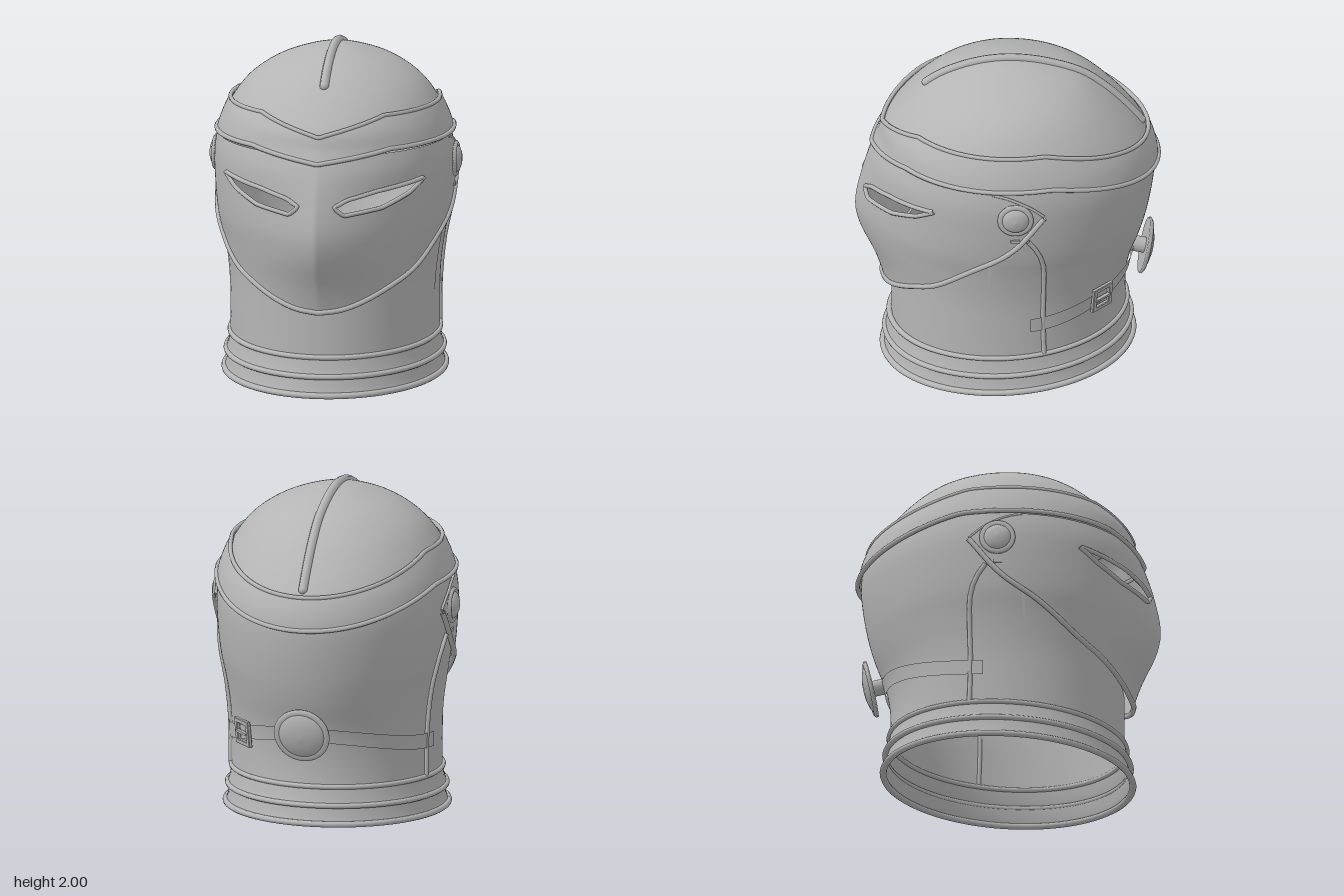
import * as THREE from 'three';

const steel = new THREE.MeshStandardMaterial({ color: 0xb5b5b5, side: THREE.DoubleSide });
steel.name = 'steel';

const TOP = 1.975;
const toQ = (y) => Math.sqrt(Math.max(0, TOP - y));
const toY = (q) => TOP - q * q;

// smooth curve through rows [key, value, ...]; keys ascending
function smooth(rows, k, c = 1) {
  const n = rows.length;
  k = Math.min(Math.max(k, rows[0][0]), rows[n - 1][0]);
  let i = 0;
  while (i < n - 2 && k > rows[i + 1][0]) i++;
  const slope = (j) => {
    const a = rows[Math.max(j - 1, 0)], b = rows[Math.min(j + 1, n - 1)];
    return (b[c] - a[c]) / (b[0] - a[0]);
  };
  const h = rows[i + 1][0] - rows[i][0], t = (k - rows[i][0]) / h, t2 = t * t, t3 = t2 * t;
  return (2 * t3 - 3 * t2 + 1) * rows[i][c] + (t3 - 2 * t2 + t) * h * slope(i)
    + (3 * t2 - 2 * t3) * rows[i + 1][c] + (t3 - t2) * h * slope(i + 1);
}
function linear(rows, k) {
  if (k <= rows[0][0]) return rows[0][1];
  for (let i = 1; i < rows.length; i++) {
    const [a, u] = rows[i - 1], [b, v] = rows[i];
    if (k <= b) return u + (v - u) * (k - a) / (b - a);
  }
  return rows[rows.length - 1][1];
}

// helmet profile: height, half width, front depth, back depth, nose point
const PROFILE = [
  [0.2, 0.61, 0.68, 0.70, 0], [0.45, 0.61, 0.685, 0.685, 0.02], [0.65, 0.615, 0.715, 0.71, 0.05],
  [0.85, 0.64, 0.765, 0.78, 0.09], [1.0, 0.67, 0.785, 0.82, 0.095], [1.2, 0.688, 0.775, 0.852, 0.07],
  [1.35, 0.69, 0.765, 0.855, 0.035], [1.48, 0.67, 0.725, 0.815, 0.02], [1.57, 0.64, 0.70, 0.755, 0.015],
  [1.66, 0.595, 0.64, 0.68, 0], [1.78, 0.50, 0.52, 0.56, 0], [1.88, 0.355, 0.38, 0.42, 0],
  [1.94, 0.20, 0.23, 0.25, 0], [TOP, 0, 0, 0, 0],
].map(([y, ...rest]) => [toQ(y), ...rest]).reverse();

// point on the helmet at angle a (0 = front, towards +x) and height y
function base(a, y, neck) {
  const q = toQ(y), c = Math.cos(a), x = smooth(PROFILE, q, 1) * Math.sin(a);
  let z;
  if (c < 0) z = smooth(PROFILE, q, 3) * c;
  else if (neck) z = 0.68 * c;
  else z = smooth(PROFILE, q, 2) * c + smooth(PROFILE, q, 4) * Math.max(0, 1 - Math.abs(x) / 0.45) ** 1.5;
  return new THREE.Vector3(x, y, z);
}
function normalAt(a, y, neck) {
  const e = 0.002, f = 0.0002;
  const da = base(a + e, y, neck).sub(base(a - e, y, neck));
  const dy = base(a, y + f, neck).sub(base(a, y - f, neck));
  return da.cross(dy).normalize();
}
const onShell = (a, y, off = 0, neck = false) => base(a, y, neck).addScaledVector(normalAt(a, y, neck), off);

// plate following the helmet between two height curves
function plate(a0, a1, lo, hi, off, cols, rows, neck = false) {
  const pos = [], nor = [], idx = [];
  for (let i = 0; i <= cols; i++) {
    const a = a0 + (a1 - a0) * i / cols, qa = toQ(lo(a)), qb = toQ(hi(a));
    for (let j = 0; j <= rows; j++) {
      const y = toY(qa + (qb - qa) * j / rows);
      pos.push(...onShell(a, y, off, neck).toArray());
      nor.push(...normalAt(a, y, neck).toArray());
      if (i < cols && j < rows) {
        const p = i * (rows + 1) + j, r = p + rows + 1;
        idx.push(p, r, r + 1, p, r + 1, p + 1);
      }
    }
  }
  const g = new THREE.BufferGeometry();
  g.setAttribute('position', new THREE.Float32BufferAttribute(pos, 3));
  g.setAttribute('normal', new THREE.Float32BufferAttribute(nor, 3));
  g.setIndex(idx);
  return g;
}
const tube = (pts, r, closed = false) => new THREE.TubeGeometry(
  new THREE.CatmullRomCurve3(pts, closed, 'centripetal'), pts.length * 2, r, 8, closed);
// trim line along a height curve
function trim(a0, a1, f, off, r, n, closed = false, neck = false) {
  const pts = [];
  for (let i = 0; i < n + (closed ? 0 : 1); i++) {
    const a = a0 + (a1 - a0) * i / n;
    pts.push(onShell(a, f(a), off, neck));
  }
  return tube(pts, r, closed);
}
const turned = (pts) => new THREE.LatheGeometry(pts.map((p) => new THREE.Vector2(...p)), 40).rotateX(Math.PI / 2);

// edge curves of the plates
const LOW = [[0, 0.52], [0.2, 0.535], [0.4, 0.575], [0.7, 0.66], [0.98, 0.75], [1.32, 0.93], [1.59, 1.08], [1.8, 1.30]];
const HIGH = [[0, 1.45], [1.4, 1.46], [1.55, 1.44], [1.7, 1.38], [1.8, 1.31]];
const EYE_HI = [[0.15, 1.165], [0.25, 1.205], [0.5, 1.245], [0.97, 1.285]];
const EYE_LO = [[0.15, 1.165], [0.22, 1.115], [0.55, 1.145], [0.8, 1.21], [0.97, 1.285]];
const visorLow = (a) => smooth(LOW, Math.abs(a));
const visorHigh = (a) => linear(HIGH, Math.abs(a));
const clampEye = (f) => (a) => Math.min(Math.max(f(Math.abs(a)), visorLow(a)), visorHigh(a));
const eyeHi = clampEye((a) => linear(EYE_HI, a)), eyeLo = clampEye((a) => linear(EYE_LO, a));
const drop = (a) => 0.16 * Math.max(0, (-Math.cos(a) - 0.28) / 0.72) ** 1.2;
const browLow = (a) => linear([[0, 1.405], [0.63, 1.475]], Math.abs(a)) - drop(a);
const browHigh = (a) => linear([[0, 1.555], [0.63, 1.655]], Math.abs(a)) - drop(a);
const shellTop = (a) => (Math.abs(a) > 1.4 ? browLow(a) + 0.02 : visorLow(a) + 0.06);

export function createModel() {
  const model = new THREE.Group();
  const PI = Math.PI;
  const add = (name, geometry, parent = model) => {
    const m = new THREE.Mesh(geometry, steel);
    m.name = name;
    parent.add(m);
    return m;
  };
  // group sitting on a surface point, its z axis facing along dir
  const mount = (name, p, dir) => {
    const g = new THREE.Group();
    g.name = name;
    g.position.copy(p);
    g.lookAt(p.clone().add(dir));
    model.add(g);
    return g;
  };

  // main plates
  add('neckShell', plate(-PI, PI, (a) => 0.28 - 0.044 * Math.cos(a), shellTop, 0, 160, 24, true));
  add('visorLower', plate(-1.8, 1.8, visorLow, eyeLo, 0.012, 180, 16));
  add('visorUpper', plate(-1.8, 1.8, eyeHi, visorHigh, 0.012, 180, 10));
  add('browBand', plate(-PI, PI, browLow, browHigh, 0.018, 160, 6));
  add('crown', plate(-PI, PI, browHigh, () => toY(0.022), 0, 128, 24));

  // edge trims
  add('browLowerTrim', trim(-PI, PI, browLow, 0.02, 0.014, 120, true));
  add('browUpperTrim', trim(-PI, PI, browHigh, 0.014, 0.013, 120, true));
  add('visorTrim', trim(-1.8, 1.8, visorLow, 0.014, 0.016, 80));

  // crest ridge over the crown
  const crest = [];
  for (let q = -0.4; q <= 0.661; q += 0.02) crest.push(base(q < 0 ? 0 : PI, toY(Math.abs(q))));
  add('crest', tube(crest, 0.027));
  for (const p of [crest[0], crest[crest.length - 1]])
    add('crestEnd', new THREE.SphereGeometry(0.027, 12, 8)).position.copy(p);

  // neck rings, tilted down to the front
  const tilt = new THREE.Matrix4().set(1, 0, 0, 0, 0, 1, -0.071, 0, 0, 0, 1.13, 0, 0, 0, 0, 1);
  const lame = (pts) => new THREE.LatheGeometry(pts.map((p) => new THREE.Vector2(...p)), 96).applyMatrix4(tilt);
  add('lowerNeckPlate', lame([[0.645, 0.065], [0.63, 0.11], [0.622, 0.175]]));
  add('upperNeckPlate', lame([[0.635, 0.175], [0.62, 0.22], [0.61, 0.29]]));
  for (const [r, h, t] of [[0.645, 0.066, 0.018], [0.634, 0.175, 0.016], [0.613, 0.285, 0.015]])
    add('neckRing', new THREE.TorusGeometry(r, t, 10, 96).rotateX(PI / 2).translate(0, h, 0).applyMatrix4(tilt));

  for (const s of [1, -1]) {
    // eye slit frames
    const frame = [];
    for (let i = 0; i <= 20; i++) { const a = 0.15 + 0.041 * i; frame.push(onShell(s * a, eyeHi(a), 0.018)); }
    for (let i = 19; i > 0; i--) { const a = 0.15 + 0.041 * i; frame.push(onShell(s * a, eyeLo(a), 0.018)); }
    add('eyeFrame', tube(frame, 0.013, true));

    // rear edge of the visor and side seam
    const rear = [1.42, 1.5, 1.58, 1.66, 1.72, 1.8].map((a) => onShell(s * a, visorHigh(a), 0.01));
    add('visorRearEdge', tube(rear, 0.008));
    const seam = [[1.86, 0.3], [1.85, 0.55], [1.83, 0.8], [1.81, 0.95], [1.76, 1.06], [1.69, 1.14]];
    add('sideSeam', tube(seam.map(([a, y]) => onShell(s * a, y, 0.006)), 0.014));

    // pivot button and small latch
    const side = new THREE.Vector3(s, 0, 0);
    const pivot = mount('pivotButton', onShell(s * 1.605, 1.3, 0.008), side);
    add('pivotRim', turned([[0, 0], [0.105, 0], [0.105, 0.012], [0.092, 0.022], [0.082, 0.016], [0, 0.016]]), pivot);
    add('pivotDome', turned([[0.08, 0.012], [0.07, 0.028], [0.04, 0.04], [0, 0.044]]), pivot);
    const latch = mount('latch', onShell(s * 1.605, 1.15, 0.01), side);
    add('latchPlate', new THREE.BoxGeometry(0.055, 0.018, 0.02), latch);
  }

  // strap around the back
  const strapMid = (a) => 0.505 + 0.145 * Math.cos(a) ** 2;
  add('strap', plate(1.74, 2 * PI - 1.74, (a) => strapMid(a) - 0.045, (a) => strapMid(a) + 0.045, 0.014, 80, 2));

  // buckle on the left side
  const ba = 2.415, by = strapMid(ba);
  const buckle = mount('buckle', onShell(ba, by, 0.018), normalAt(ba, by));
  const rect = (P, w, h) => new P([[-w, -h], [w, -h], [w, h], [-w, h]].map((p) => new THREE.Vector2(...p)));
  const outer = rect(THREE.Shape, 0.075, 0.075);
  outer.holes.push(rect(THREE.Path, 0.053, 0.055));
  add('buckleFrame', new THREE.ExtrudeGeometry(outer, {
    depth: 0.015, bevelEnabled: true, bevelSize: 0.004, bevelThickness: 0.004, bevelSegments: 1,
  }), buckle);
  add('bucklePin', new THREE.BoxGeometry(0.12, 0.015, 0.02), buckle).position.z = 0.015;

  // round boss on a stem at the back
  const boss = mount('rearBoss', new THREE.Vector3(0, 0.665, -0.8), new THREE.Vector3(0, -0.22, -0.97));
  add('bossRim', turned([[0, 0], [0.165, -0.008], [0.168, 0.006], [0.152, 0.018], [0.14, 0.012], [0, 0.012]]), boss);
  add('bossDome', turned([[0.138, 0.01], [0.115, 0.028], [0.06, 0.042], [0, 0.046]]), boss);
  add('bossStem', new THREE.CylinderGeometry(0.047, 0.047, 0.13, 20).rotateX(PI / 2).translate(0, 0, -0.06), boss);

  return model;
}
